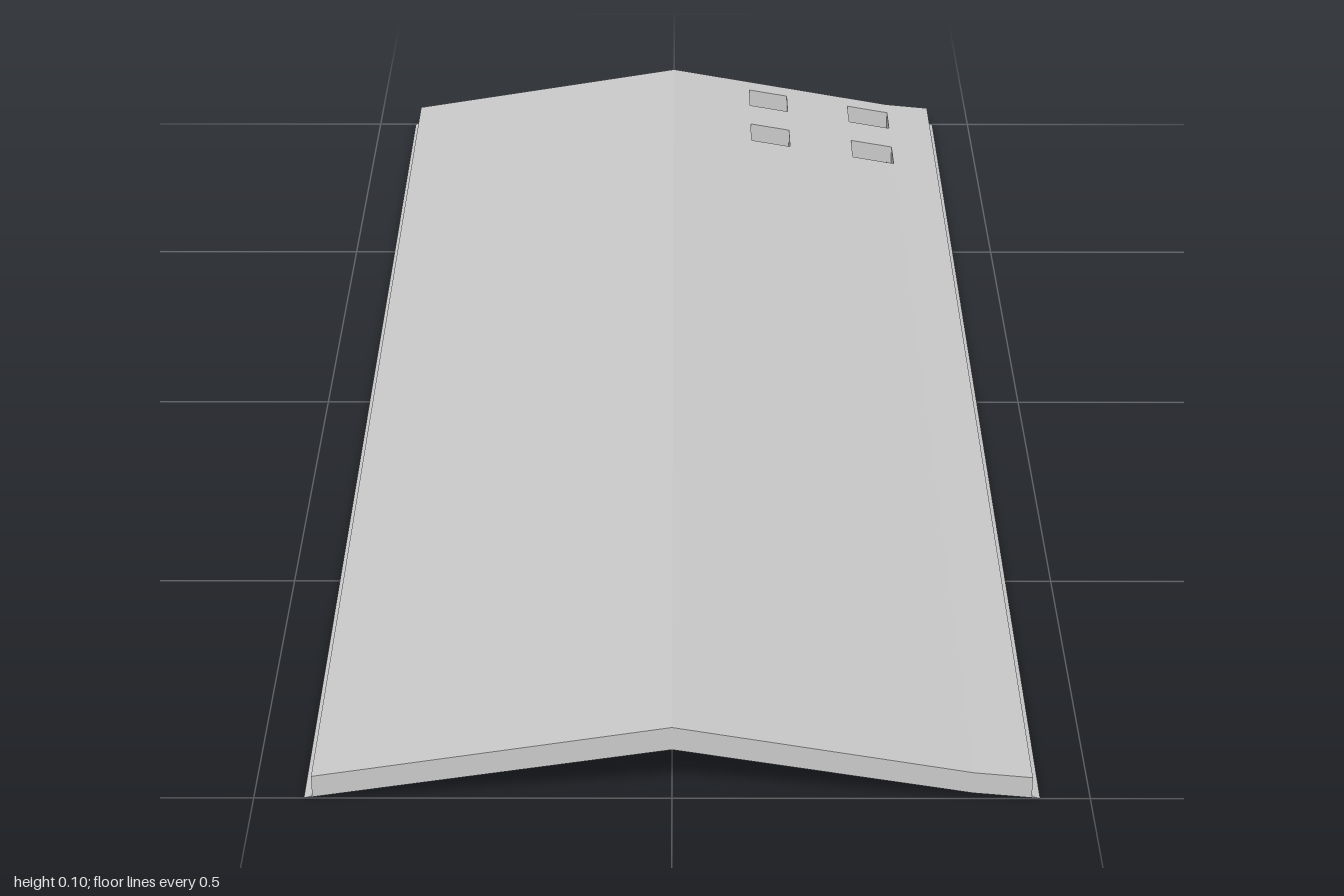
import * as THREE from 'three';

// Cross-section stations: [x, top y, bottom y]; a repeated x makes a vertical edge face
const ridgeTop = 0.101, ridgeBottom = 0.0695;
const slope = (x) => [x, ridgeTop - 0.178 * x, ridgeBottom - 0.171 * x];
const columns = [
  [-0.44, 0, 0],
  [-0.43, 0.003, 0.0016],
  [-0.43, 0.031, 0.0016],
  [0, ridgeTop, ridgeBottom],
  ...[0.127, 0.19, 0.293, 0.36].map(slope),
  [0.43, 0.03, 0.0012],
  [0.43, 0.003, 0.0012],
  [0.44, 0, 0],
];
// Lengthwise stations, from back to front
const rows = [-1, -0.965, -0.9, -0.823, -0.757, 1];

// The four square openings, as cells of the column and row grid
const holeColumns = [4, 6];
const holeRows = [1, 3];
const isSolid = (i, j) =>
  i >= 0 && j >= 0 && i < columns.length - 1 && j < rows.length - 1 &&
  !(holeColumns.includes(i) && holeRows.includes(j));

function buildPanelGeometry() {
  const positions = [];
  const triangle = new THREE.Triangle();
  const addTriangle = (a, b, c) => {
    triangle.set(a, b, c);
    if (triangle.getArea() < 1e-9) return; // drop collapsed faces
    for (const p of [a, b, c]) positions.push(p.x, p.y, p.z);
  };
  const addQuad = (a, b, c, d) => {
    addTriangle(a, b, c);
    addTriangle(a, c, d);
  };

  for (let i = 0; i < columns.length - 1; i++) {
    for (let j = 0; j < rows.length - 1; j++) {
      if (!isSolid(i, j)) continue;
      // Corners of this cell: di and dj select the column and row side
      const top = (di, dj) => new THREE.Vector3(columns[i + di][0], columns[i + di][1], rows[j + dj]);
      const low = (di, dj) => new THREE.Vector3(columns[i + di][0], columns[i + di][2], rows[j + dj]);

      // Upper and lower faces
      addQuad(top(0, 0), top(0, 1), top(1, 1), top(1, 0));
      addQuad(low(0, 0), low(1, 0), low(1, 1), low(0, 1));

      // Walls around the outer rim and the openings
      if (!isSolid(i, j + 1)) addQuad(low(0, 1), low(1, 1), top(1, 1), top(0, 1));
      if (!isSolid(i, j - 1)) addQuad(low(1, 0), low(0, 0), top(0, 0), top(1, 0));
      if (!isSolid(i + 1, j)) addQuad(low(1, 1), low(1, 0), top(1, 0), top(1, 1));
      if (!isSolid(i - 1, j)) addQuad(low(0, 0), low(0, 1), top(0, 1), top(0, 0));
    }
  }

  const geometry = new THREE.BufferGeometry();
  geometry.setAttribute('position', new THREE.Float32BufferAttribute(positions, 3));
  geometry.computeVertexNormals();
  return geometry;
}

export function createModel() {
  const model = new THREE.Group();
  model.name = 'ridgedRoof';
  const material = new THREE.MeshStandardMaterial({ color: 0xcccccc, flatShading: true });
  const panel = new THREE.Mesh(buildPanelGeometry(), material);
  panel.name = 'roofPanel';
  model.add(panel);
  return model;
}
